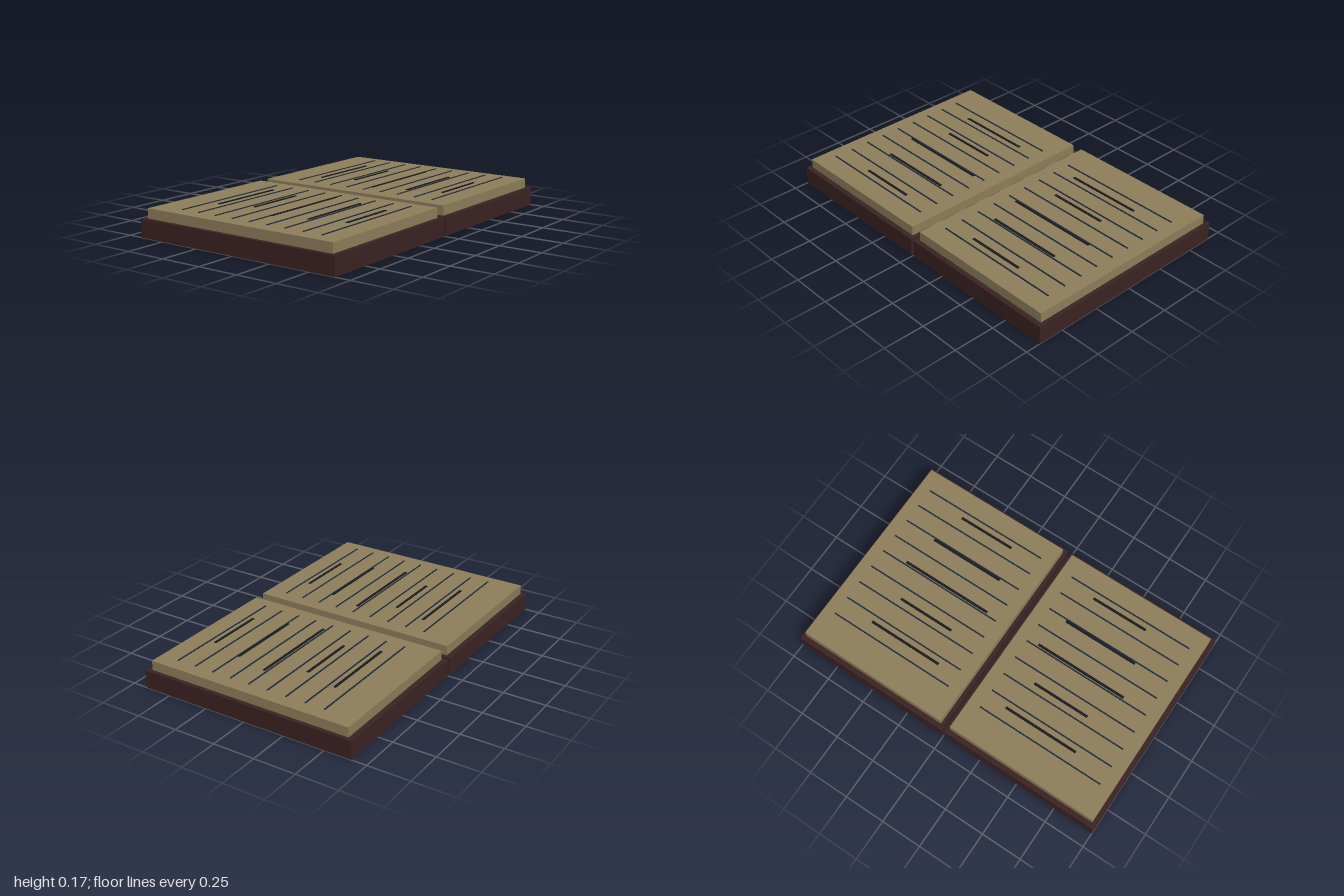
import * as THREE from 'three';

const mat = (name, color) => {
  const m = new THREE.MeshStandardMaterial({ color });
  m.name = name;
  return m;
};

export function createModel() {
  const leather = mat('dark leather', 0x3c2323);
  const paper = mat('aged paper', 0x8f805c);
  const blueInk = mat('blue ruling ink', 0x1f2c3c);
  const blackInk = mat('black ink', 0x1a1a1f);

  const model = new THREE.Group();
  model.name = 'openBook';

  // Box given by size, centre and underside height
  const box = (parent, name, material, w, h, d, x, y, z) => {
    const mesh = new THREE.Mesh(new THREE.BoxGeometry(w, h, d), material);
    mesh.name = name;
    mesh.position.set(x, y + h / 2, z);
    parent.add(mesh);
  };

  const strokeWidths = [0.465, 0.353, 0.57, 0.465, 0.353];

  // The two halves mirror each other across a narrow central gap
  for (const side of [-1, 1]) {
    const half = new THREE.Group();
    half.name = side > 0 ? 'leftHalf' : 'rightHalf';
    model.add(half);

    box(half, 'cover', leather, 0.99, 0.107, 1.32, side * 0.505, 0, 0);
    box(half, 'pageBlock', paper, 0.944, 0.057, 1.26, side * 0.504, 0.107, 0);

    // Thin ruled lines
    for (let i = 0; i < 9; i++) {
      box(half, 'ruledLine', blueInk, 0.797, 0.004, 0.008, side * 0.505, 0.1665, -0.44 + i * 0.1185);
    }

    // Thicker writing strokes of varying length
    strokeWidths.forEach((w, i) => {
      box(half, 'writingStroke', blackInk, w, 0.004, 0.015, side * 0.462, 0.171, -0.364 + i * 0.207);
    });
  }
  return model;
}
